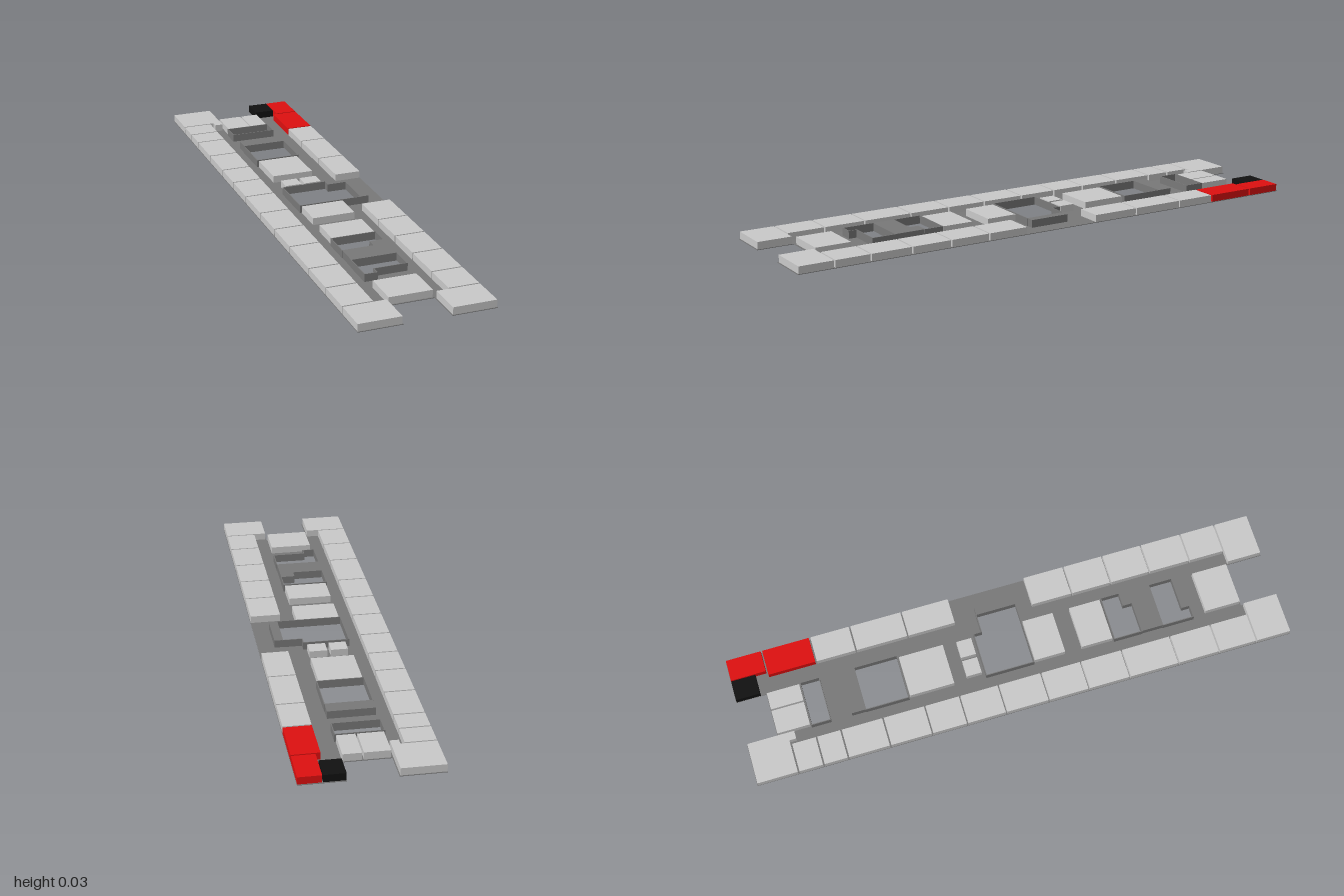
import * as THREE from 'three';

const BASE = 0.002, BLOCK = 0.028, WALL = 0.03;
const mat = (color) => new THREE.MeshStandardMaterial({ color, flatShading: true });

const rect = (x0, x1, z0, z1) => [[x0, z0], [x1, z0], [x1, z1], [x0, z1]];
const toPoints = (plan) => plan.map(([x, z]) => new THREE.Vector2(x, z));

export function createModel() {
  const model = new THREE.Group();
  const grey = mat(0xcccccc), dark = mat(0x7a7a7a), red = mat(0xe01010), black = mat(0x111111);

  // Raise a floor plan outline (x, z) from y0 to y1
  function slab(name, plan, y0, y1, material, holes = []) {
    const shape = new THREE.Shape(toPoints(plan));
    holes.forEach((h) => shape.holes.push(new THREE.Path(toPoints(h))));
    const geo = new THREE.ExtrudeGeometry(shape, { depth: y1 - y0, bevelEnabled: false });
    geo.rotateX(Math.PI / 2).translate(0, y1, 0);
    const mesh = new THREE.Mesh(geo, material);
    mesh.name = name;
    model.add(mesh);
  }
  // Room block with a narrow gap around it
  const G = 0.003;
  const room = (name, x0, x1, z0, z1, material = grey) =>
    slab(name, rect(x0 + G, x1 - G, z0 + G, z1 - G), BASE, BLOCK, material);

  // Open courtyards through the floor
  const L = -0.085, R = 0.08;
  const courtyards = [
    rect(L, R, -0.76, -0.69),
    rect(L, R, -0.56, -0.4),
    [[L, -0.11], [R, -0.11], [R, -0.08], [0.15, -0.08], [0.15, 0.07], [L, 0.07]],
    [[L, 0.375], [R, 0.375], [R, 0.445], [0.03, 0.445], [0.03, 0.48], [L, 0.48]],
    [[L, 0.56], [R, 0.56], [R, 0.648], [-0.04, 0.648], [-0.04, 0.678], [L, 0.678]],
  ];

  // Corridor floor, notched at both ends
  slab('floor', [
    [-0.24, -1], [-0.085, -1], [-0.085, -0.888], [0.082, -0.888], [0.082, -1], [0.24, -1],
    [0.24, 1], [0.082, 1], [0.082, 0.865], [-0.085, 0.865], [-0.085, 1], [-0.24, 1],
  ], 0, BASE, dark, courtyards);

  // Thin walls around each courtyard
  const T = 0.003;
  courtyards.forEach((plan) => plan.forEach(([x, z], i) => {
    const [x2, z2] = plan[(i + 1) % plan.length];
    const wall = new THREE.Mesh(
      new THREE.BoxGeometry(Math.abs(x2 - x) + T, WALL - BASE, Math.abs(z2 - z) + T), dark);
    wall.position.set((x + x2) / 2, (WALL + BASE) / 2, (z + z2) / 2);
    wall.name = 'courtyardWall';
    model.add(wall);
  }));

  // Raised dark cores beside the courtyards
  slab('northCore', rect(L, R, -0.612, -0.56), BASE, WALL, dark);
  slab('eastCore', rect(0.15, 0.18, -0.08, 0.07), BASE, WALL, dark);
  slab('bridge', [[L, 0.48], [0.03, 0.48], [0.03, 0.445], [R, 0.445], [R, 0.56], [L, 0.56]],
    BASE, WALL, dark);

  // Row of rooms between successive z lines
  const row = (name, x0, x1, cuts) =>
    cuts.slice(1).forEach((z, i) => room(name, x0, x1, cuts[i], z));
  row('westRoom', -0.242, -0.13,
    [-0.847, -0.755, -0.665, -0.51, -0.355, -0.225, -0.08, 0.08, 0.23, 0.385, 0.57, 0.725, 0.868]);
  row('northEastRoom', 0.14, 0.242, [-0.685, -0.535, -0.34, -0.16]);
  row('southEastRoom', 0.127, 0.242, [0.125, 0.28, 0.43, 0.58, 0.735, 0.868]);

  // Corner rooms
  slab('northWestRoom', [
    [-0.239, -0.997], [-0.088, -0.997], [-0.088, -0.825], [-0.118, -0.825],
    [-0.118, -0.85], [-0.239, -0.85],
  ], BASE, BLOCK, grey);
  room('southWestRoom', -0.242, -0.085, 0.868, 1);
  room('southEastCornerRoom', 0.082, 0.242, 0.868, 1);

  // Coloured rooms
  room('redRoom', 0.157, 0.242, -1, -0.865, red);
  room('redRoom', 0.14, 0.242, -0.865, -0.685, red);
  room('blackRoom', 0.08, 0.16, -1, -0.905, black);

  // Rooms across the middle
  [
    [-0.084, 0.01, -0.888, -0.762], [0.01, 0.08, -0.888, -0.762],
    [-0.083, 0.076, -0.397, -0.226],
    [-0.072, -0.005, -0.182, -0.12], [0.002, 0.072, -0.182, -0.12],
    [-0.083, 0.08, 0.072, 0.192], [-0.083, 0.08, 0.25, 0.372],
    [-0.08, 0.08, 0.725, 0.863],
  ].forEach((r) => room('middleRoom', ...r));

  return model;
}
